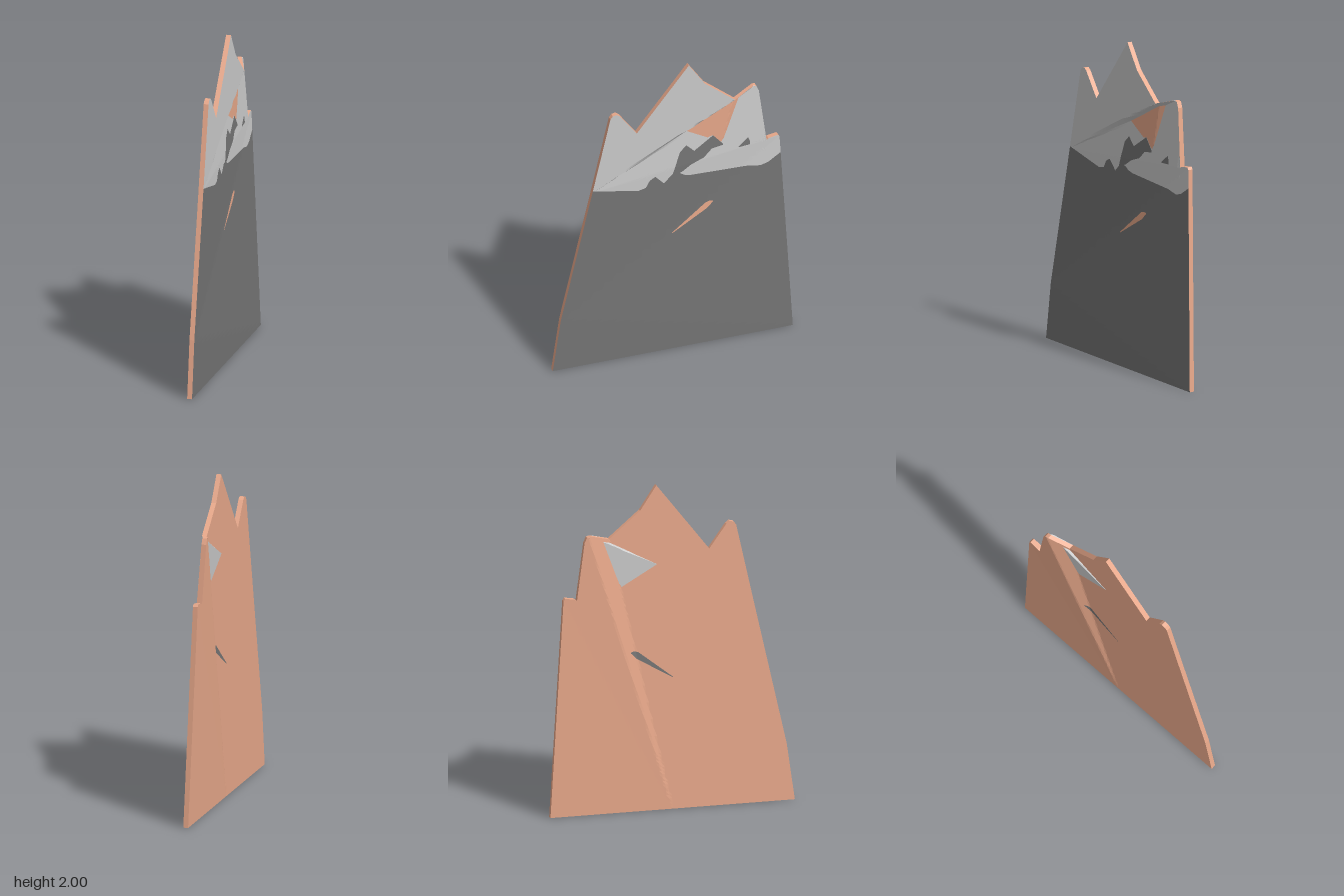
import * as THREE from 'three';

// Key points of the fold: [z, y, push toward -x]
const KEYS = [[0.75, 0, 0], [-0.75, 0, 0], [0.7, 0.35, 0], [0.5, 1.22, 0],
  [-0.68, 1.35, 0.038], [-0.53, 1.73, 0.052], [-0.39, 1.69, 0], [-0.1, 2.3, 0], [0, 0, 0]];
// Each skin creases along its own triangles, so the two cross in places
const FACE_FOLD = [[0, 1, 2], [1, 4, 2], [2, 4, 3], [4, 5, 3], [3, 5, 6], [3, 6, 7]];
const BACK_FOLD = [[0, 8, 2], [2, 8, 3], [3, 8, 6], [3, 6, 7], [8, 5, 6], [8, 4, 5], [8, 1, 4]];
const FACE = { x: 0.04, facets: FACE_FOLD, flip: false };
const BACK = { x: 0.01, facets: BACK_FOLD, flip: true };

// Point on a skin, optionally lifted along x
function onSkin(skin, z, y, lift = 0) {
  let best = -Infinity, d = 0;
  for (const f of skin.facets) {
    const [a, b, c] = f.map(i => KEYS[i]);
    const det = (b[1] - c[1]) * (a[0] - c[0]) + (c[0] - b[0]) * (a[1] - c[1]);
    const u = ((b[1] - c[1]) * (z - c[0]) + (c[0] - b[0]) * (y - c[1])) / det;
    const v = ((c[1] - a[1]) * (z - c[0]) + (a[0] - c[0]) * (y - c[1])) / det;
    const m = Math.min(u, v, 1 - u - v);
    if (m > best) { best = m; d = u * a[2] + v * b[2] + (1 - u - v) * c[2]; }
  }
  return [skin.x + lift - THREE.MathUtils.clamp(d, 0, 0.052), y, z];
}

// Curves are [z, y] lists running from +z to -z
const BASE = [[0.75, 0], [-0.75, 0]];
const KNEE = [[0.7, 0.35], [-0.732, 0.35]];
const SNOW = [[0.5, 1.23], [0.21, 1.165], [0.165, 1.175], [0.14, 1.22], [0.105, 1.24], [0.05, 1.18],
  [0, 1.23], [-0.05, 1.23], [-0.08, 1.21], [-0.12, 1.2], [-0.48, 1.18], [-0.56, 1.165], [-0.61, 1.18], [-0.686, 1.23]];
const CREASE = [[0.5, 1.23], [-0.53, 1.722], [-0.55, 1.67], [-0.598, 1.32], [-0.683, 1.29]];
const TOP = [[0.39, 1.72], [0.375, 1.74], [0.35, 1.745], [0.33, 1.73], [0.225, 1.585], [-0.1, 2],
  [-0.2, 1.85], [-0.39, 1.69], [-0.52, 1.73], [-0.54, 1.725], [-0.555, 1.69], [-0.598, 1.335],
  [-0.61, 1.345], [-0.67, 1.355], [-0.68, 1.34]];

const param = (curve, z) => (z - curve[0][0]) / (curve.at(-1)[0] - curve[0][0]);

function sample(curve, u) {
  const z = THREE.MathUtils.lerp(curve[0][0], curve.at(-1)[0], u);
  let i = 1;
  while (i < curve.length - 1 && curve[i][0] > z) i++;
  const [a, b] = [curve[i - 1], curve[i]];
  return [z, THREE.MathUtils.lerp(a[1], b[1], (z - a[0]) / (b[0] - a[0]))];
}

// Quad grid through rows of [x, y, z] points
function grid(rows, flip = false) {
  const n = rows[0].length, index = [];
  for (let r = 0; r < rows.length - 1; r++) {
    for (let c = 0; c < n - 1; c++) {
      const a = r * n + c, b = a + 1, d = a + n, e = d + 1;
      index.push(...(flip ? [a, e, b, a, d, e] : [a, b, e, a, e, d]));
    }
  }
  const g = new THREE.BufferGeometry();
  g.setAttribute('position', new THREE.Float32BufferAttribute(rows.flat(2), 3));
  g.setIndex(index);
  g.computeVertexNormals();
  return g;
}

// Folded sheet between two curves on a skin
function sheet(skin, low, high, lift = 0, steps = 16) {
  const us = new Set(Array.from({ length: 81 }, (_, i) => i / 80));
  for (const c of [low, high]) c.forEach(p => us.add(param(c, p[0])));
  const cols = [...us].sort((a, b) => a - b);
  const rows = [];
  for (let r = 0; r <= steps; r++) {
    rows.push(cols.map(u => {
      const a = sample(low, u), b = sample(high, u), t = r / steps;
      return onSkin(skin, THREE.MathUtils.lerp(a[0], b[0], t), THREE.MathUtils.lerp(a[1], b[1], t), lift);
    }));
  }
  return grid(rows, skin.flip);
}

export function createModel() {
  const group = new THREE.Group();
  const mat = color => new THREE.MeshStandardMaterial({ color, side: THREE.DoubleSide, flatShading: true });
  const snow = mat(0xcccccc), rock = mat(0x747474), copper = mat(0xe8a88a);
  const add = (name, geometry, material) => {
    const mesh = new THREE.Mesh(geometry, material);
    mesh.name = name;
    group.add(mesh);
  };

  // Painted face toward +x, plain copper back toward -x
  const bands = [['lowerRock', BASE, KNEE, rock], ['upperRock', KNEE, SNOW, rock],
    ['snowField', SNOW, CREASE, snow], ['snowPeaks', CREASE, TOP, snow]];
  for (const [name, low, high, material] of bands) {
    add(name, sheet(FACE, low, high), material);
    add(name + 'Backing', sheet(BACK, low, high), copper);
  }

  // Edge band around the whole outline
  const outline = [BASE[0], KNEE[0], SNOW[0], ...TOP, CREASE.at(-1), SNOW.at(-1), KNEE[1], BASE[1], BASE[0]];
  add('panelEdge', grid([FACE, BACK].map(skin => outline.map(([z, y]) => onSkin(skin, z, y)))), copper);

  // Near snow ridge with dark crags on it
  add('nearRidge', sheet(FACE, [[0.2, 1.315], [-0.1, 1.29], [-0.66, 1.29]],
    [[0.2, 1.32], [-0.26, 1.45], [-0.325, 1.37], [-0.46, 1.39], [-0.49, 1.345], [-0.6, 1.33], [-0.66, 1.34]], 0.004), snow);
  add('rockCrag', sheet(FACE,
    [[0, 1.22], [-0.06, 1.24], [-0.12, 1.28], [-0.2, 1.31], [-0.25, 1.36], [-0.32, 1.37]],
    [[0, 1.23], [-0.05, 1.38], [-0.09, 1.42], [-0.14, 1.37], [-0.26, 1.45], [-0.32, 1.38]], 0.007), rock);
  add('smallCrag', sheet(FACE, [[-0.42, 1.33], [-0.49, 1.335]],
    [[-0.42, 1.335], [-0.48, 1.385], [-0.49, 1.36]], 0.007), rock);

  // Narrow sliver where the skins show through each other
  const sliverLow = [[0, 0.81], [-0.22, 0.94], [-0.26, 0.98]];
  const sliverHigh = [[0, 0.815], [-0.21, 0.98], [-0.24, 0.99], [-0.26, 0.985]];
  add('copperSliver', sheet(FACE, sliverLow, sliverHigh, 0.002), copper);
  add('rockSliver', sheet(BACK, sliverLow, sliverHigh, -0.002), rock);
  return group;
}
